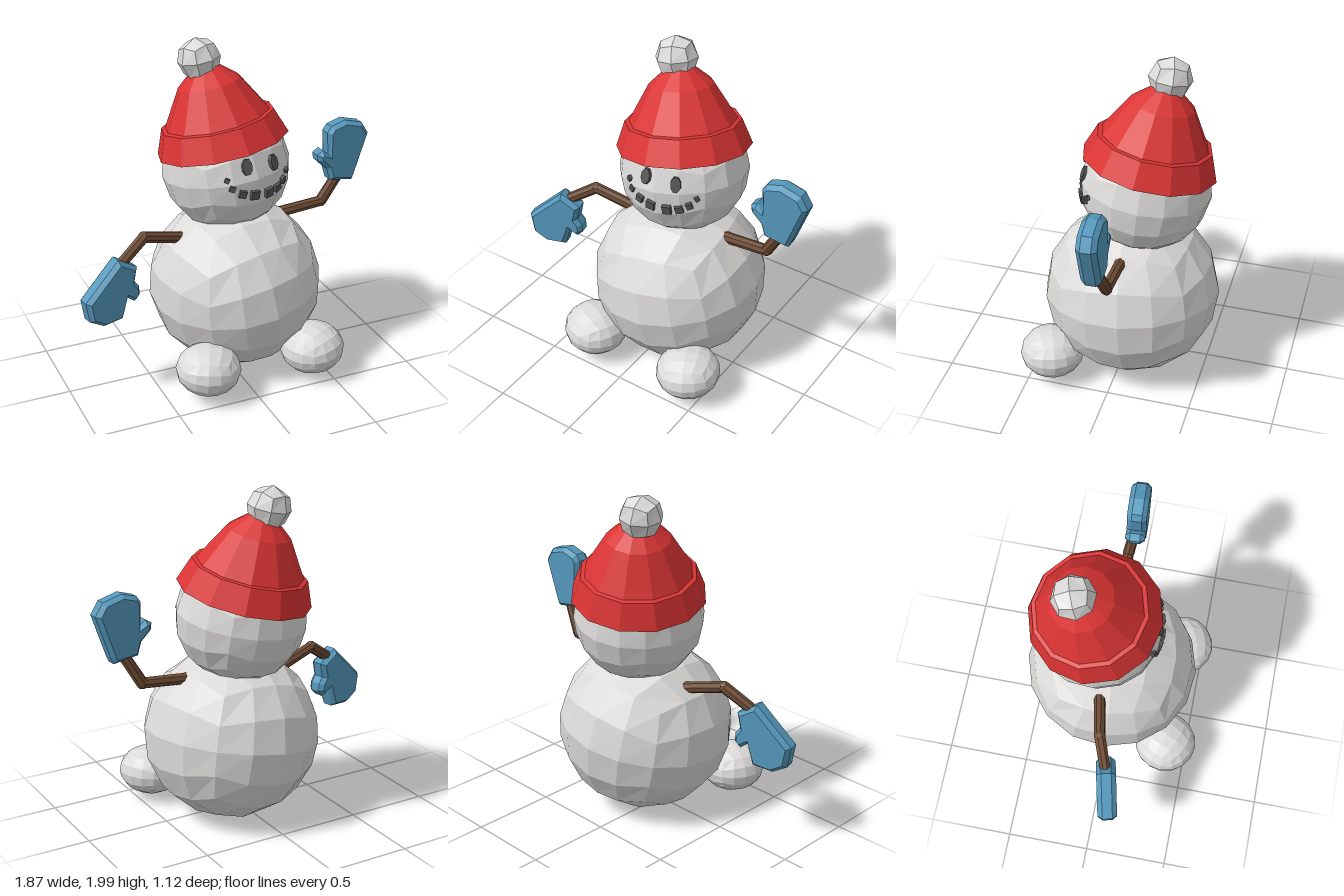
import * as THREE from 'three';

export function createModel() {
  const model = new THREE.Group();
  const mat = (name, color) => {
    const m = new THREE.MeshStandardMaterial({ color });
    m.name = name;
    return m;
  };
  const snow = mat('snow', 0xdcdbda);
  const red = mat('red wool', 0xdb3434);
  const blue = mat('blue wool', 0x5598bc);
  const wood = mat('wood', 0x6e4c34);
  const coal = mat('coal', 0x555555);

  // Faceted normals stored in the geometry
  const facet = (geo) => {
    const g = geo.index ? geo.toNonIndexed() : geo;
    g.computeVertexNormals();
    return g;
  };
  const add = (name, geo, material, parent = model) => {
    const m = new THREE.Mesh(facet(geo), material);
    m.name = name;
    parent.add(m);
    return m;
  };

  // Ball of quads: a subdivided cube pushed out to a sphere
  const ball = (name, segs, pos, radii, rot) => {
    const g = new THREE.BoxGeometry(2, 2, 2, segs, segs, segs);
    const p = g.attributes.position;
    const v = new THREE.Vector3();
    const even = (t) => Math.tan((t * Math.PI) / 4);
    for (let i = 0; i < p.count; i++) {
      v.fromBufferAttribute(p, i);
      v.set(even(v.x), even(v.y), even(v.z)).normalize();
      p.setXYZ(i, v.x * radii[0], v.y * radii[1], v.z * radii[2]);
    }
    const m = add(name, g, snow);
    m.position.set(...pos);
    m.rotation.set(...rot);
    return m;
  };

  const headCenter = new THREE.Vector3(0.055, 1.24, -0.115);
  ball('body', 4, [0.08, 0.515, -0.04], [0.52, 0.515, 0.525], [0.05, 0.1, 0.15]);
  ball('head', 4, headCenter.toArray(), [0.38, 0.378, 0.38], [-0.12, 0.1, 0.12]);
  ball('rightFoot', 4, [-0.265, 0.193, 0.37], [0.192, 0.148, 0.192], [0, -0.4, -0.05]);
  ball('leftFoot', 4, [0.41, 0.183, 0.37], [0.192, 0.148, 0.192], [0, 0.4, 0.08]);
  ball('pompom', 2, [-0.068, 1.877, -0.215], [0.127, 0.127, 0.127], [-0.16, 0.3, 0.17]);

  // Tilted hat: closed underside, flared brim, ledge and crown
  const profile = [
    [0, 0.08], [0.365, 0.02], [0.394, 0], [0.337, 0.15], [0.312, 0.155],
    [0.285, 0.2], [0.185, 0.37], [0.075, 0.465], [0, 0.48],
  ].map(([r, h]) => new THREE.Vector2(r, h));
  const hat = add('hat', new THREE.LatheGeometry(profile, 12), red);
  hat.position.set(0.042, 1.378, -0.13);
  hat.quaternion.setFromUnitVectors(
    new THREE.Vector3(0, 1, 0), new THREE.Vector3(-0.168, 1, -0.158).normalize());

  // Coal pieces laid on the front of the head at a given x and y
  const stick = (mesh, x, y) => {
    const dx = x - headCenter.x, dy = y - headCenter.y, r = 0.372;
    mesh.position.set(x, y, headCenter.z + Math.sqrt(r * r - dx * dx - dy * dy));
    mesh.lookAt(mesh.position.clone().multiplyScalar(2).sub(headCenter));
  };
  for (const [name, x, y] of [['rightEye', 0.032, 1.362], ['leftEye', 0.207, 1.352]]) {
    const g = new THREE.CylinderGeometry(0.03, 0.032, 0.03, 8, 1, false, Math.PI / 8);
    g.rotateX(Math.PI / 2);
    g.scale(1, 1.6, 1);
    stick(add(name, g, coal), x, y);
  }
  const mouth = new THREE.Group();
  mouth.name = 'mouth';
  model.add(mouth);
  [
    [-0.085, 1.295, 0.027], [-0.058, 1.247, 0.033], [0, 1.21, 0.042], [0.074, 1.194, 0.052],
    [0.168, 1.188, 0.052], [0.232, 1.199, 0.045], [0.28, 1.225, 0.036], [0.312, 1.268, 0.026],
  ].forEach(([x, y, s]) => {
    const tooth = add('mouthPiece', new THREE.BoxGeometry(s, s, 0.034), coal, mouth);
    stick(tooth, x, y);
    tooth.rotateZ((x - 0.115) * 2.2);
  });

  // Stick arms: straight lengths with a rounded elbow
  const arm = (name, points) => {
    const group = new THREE.Group();
    group.name = name;
    model.add(group);
    const pts = points.map((p) => new THREE.Vector3(...p));
    for (let i = 0; i < pts.length - 1; i++) {
      const d = pts[i + 1].clone().sub(pts[i]);
      const part = add('branch', new THREE.CylinderGeometry(0.033, 0.035, d.length(), 8), wood, group);
      part.position.copy(pts[i]).addScaledVector(d, 0.5);
      part.quaternion.setFromUnitVectors(new THREE.Vector3(0, 1, 0), d.normalize());
    }
    add('elbow', new THREE.SphereGeometry(0.035, 8, 6), wood, group).position.copy(pts[1]);
  };
  arm('leftArm', [[0.3, 0.895, -0.05], [0.66, 0.925, -0.05], [0.775, 1.13, -0.02]]);
  arm('rightArm', [[-0.2, 0.84, -0.06], [-0.51, 0.925, 0], [-0.69, 0.805, 0.07]]);

  // Bevelled mittens cut from an outline
  const mitten = (name, outline, center, turn) => {
    const shape = new THREE.Shape(
      outline.map(([x, y]) => new THREE.Vector2(x - center[0], y - center[1])));
    const g = new THREE.ExtrudeGeometry(shape, {
      depth: 0.06, bevelThickness: 0.028, bevelSize: 0.022, bevelOffset: -0.022, bevelSegments: 1,
    });
    g.translate(0, 0, -0.03);
    const m = add(name, g, blue);
    m.position.set(...center);
    m.rotation.y = turn;
  };
  mitten('leftMitten', [
    [0.677, 1.09], [0.83, 1.066], [0.845, 1.1], [0.931, 1.353], [0.884, 1.427], [0.767, 1.459],
    [0.677, 1.432], [0.651, 1.395], [0.66, 1.262], [0.625, 1.289], [0.587, 1.265], [0.592, 1.225],
    [0.655, 1.165],
  ], [0.76, 1.26, -0.012], 0.04);
  mitten('rightMitten', [
    [-0.709, 0.865], [-0.931, 0.655], [-0.91, 0.53], [-0.82, 0.477], [-0.693, 0.487],
    [-0.658, 0.61], [-0.61, 0.573], [-0.573, 0.61], [-0.578, 0.662], [-0.606, 0.7],
    [-0.587, 0.79],
  ], [-0.75, 0.67, 0.085], 0.22);

  return model;
}
